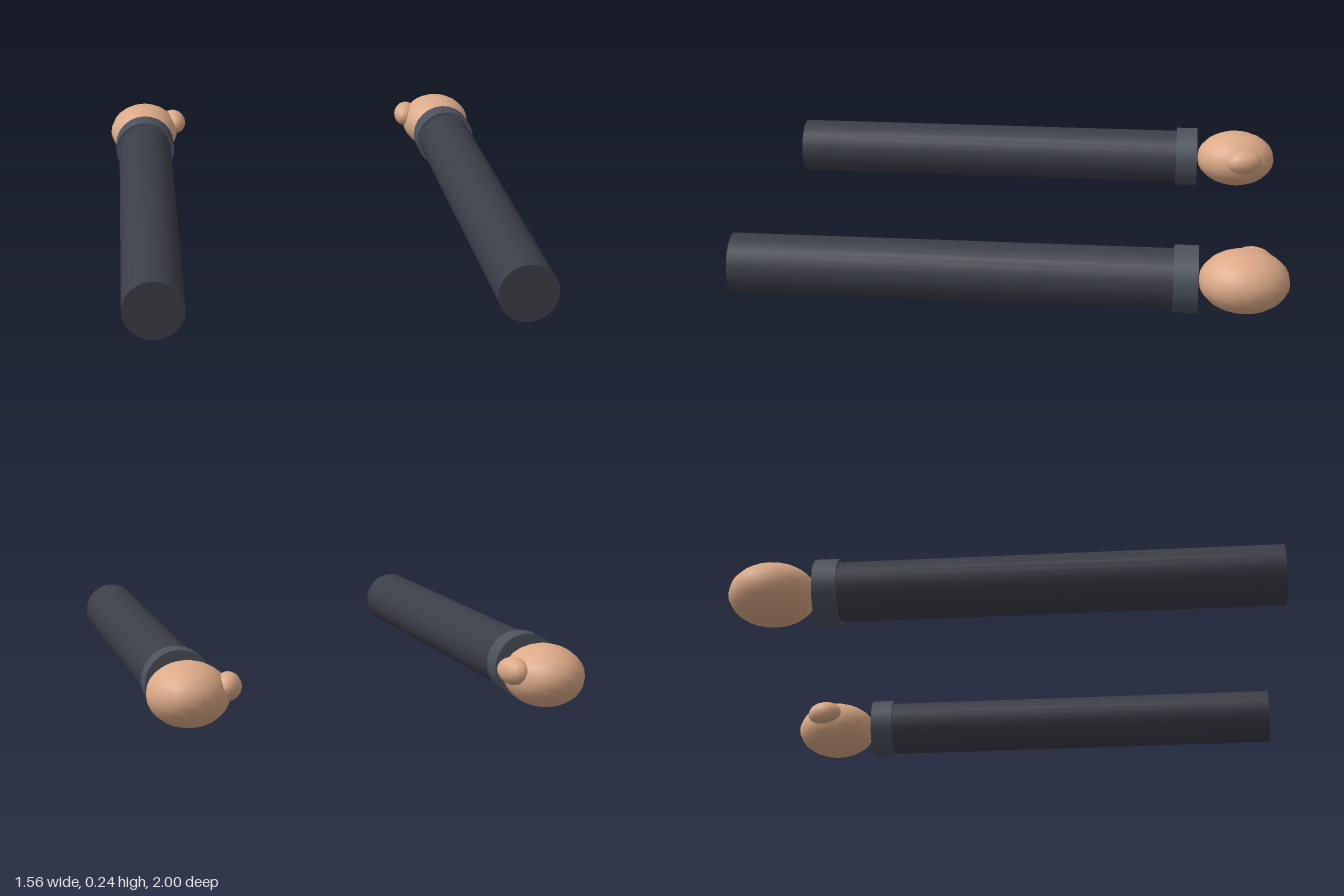
import * as THREE from 'three';

const mat = (color) => new THREE.MeshStandardMaterial({ color });

export function createModel() {
  const model = new THREE.Group();
  const sleeveMat = mat(0x3c3e48);
  const cuffMat = mat(0x4c515d);
  const skinMat = mat(0xdba987);

  // closed tube along z between two depths
  const tube = (name, radius, z0, z1, material) => {
    const geo = new THREE.CylinderGeometry(radius, radius, z1 - z0, 24);
    geo.rotateX(Math.PI / 2);
    const mesh = new THREE.Mesh(geo, material);
    mesh.name = name;
    mesh.position.z = (z0 + z1) / 2;
    return mesh;
  };

  // stretched ball
  const ball = (name, rx, ry, rz, w, h) => {
    const geo = new THREE.SphereGeometry(1, w, h);
    geo.scale(rx, ry, rz);
    const mesh = new THREE.Mesh(geo, skinMat);
    mesh.name = name;
    return mesh;
  };

  for (const side of [1, -1]) {
    const arm = new THREE.Group();
    arm.name = side > 0 ? 'leftArm' : 'rightArm';
    arm.position.set(side * 0.64, 0.122, 0);

    arm.add(tube('sleeve', 0.108, -0.6, 1, sleeveMat));
    arm.add(tube('cuff', 0.121, -0.675, -0.588, cuffMat));

    // hand with the thumb on the inner side
    const hand = ball('hand', 0.142, 0.112, 0.162, 18, 14);
    hand.position.z = -0.838;
    const thumb = ball('thumb', 0.048, 0.049, 0.073, 14, 10);
    thumb.position.set(side * -0.129, 0.027, -0.872);
    thumb.rotation.y = side * -0.25;
    arm.add(hand, thumb);

    model.add(arm);
  }
  return model;
}
